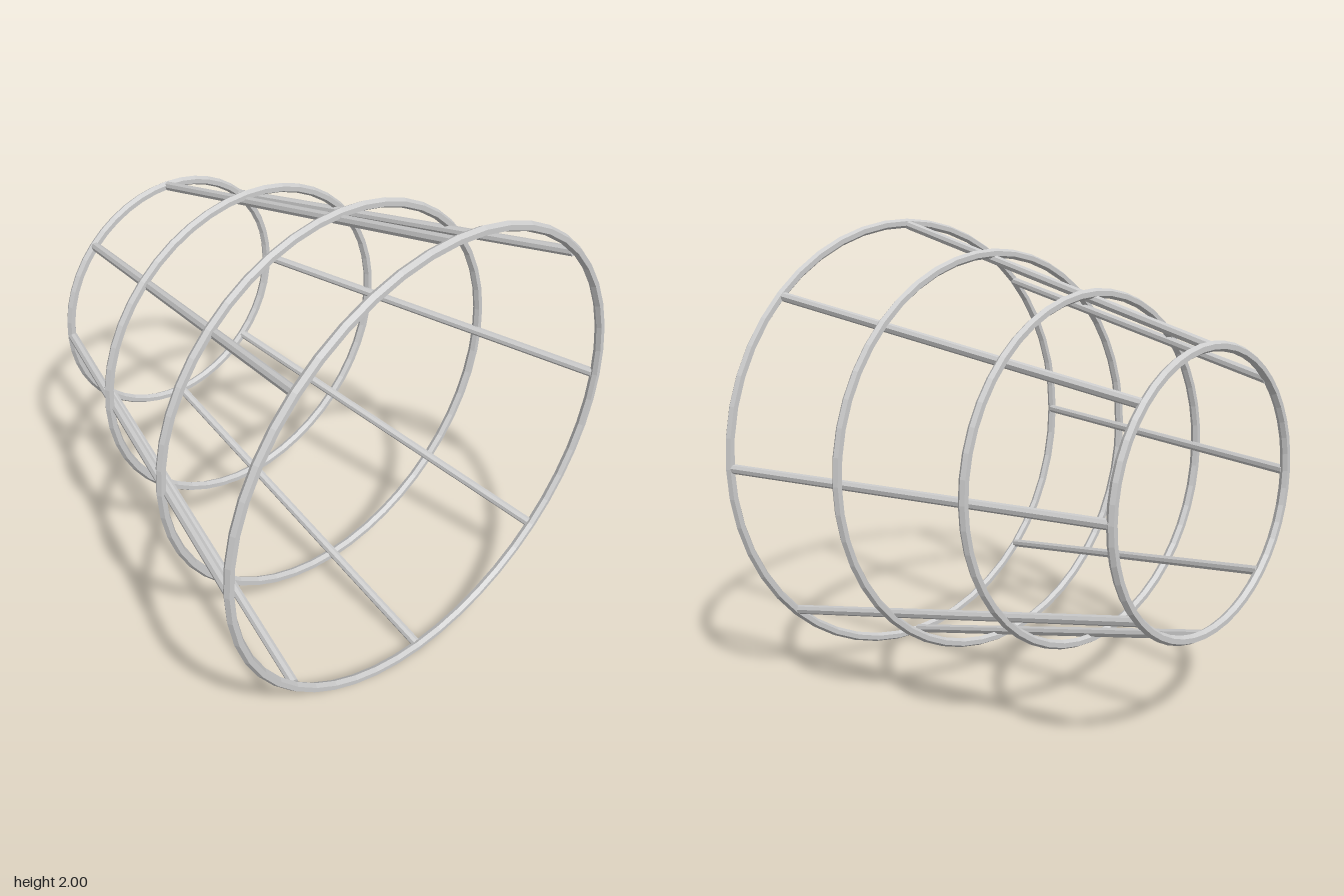
import * as THREE from 'three';

export function createModel() {
  const model = new THREE.Group();
  model.name = 'taperedCage';
  const steel = new THREE.MeshStandardMaterial({ color: 0xcccccc, flatShading: true });
  steel.name = 'light grey steel';
  const wire = 0.02;

  // Four hoops along z, [radius, z]
  const hoops = [[0.98, 0.84], [0.86, 0.28], [0.72, -0.28], [0.557, -0.84]];
  hoops.forEach(([radius, z], i) => {
    const hoop = new THREE.Mesh(new THREE.TorusGeometry(radius, wire, 6, 48), steel);
    hoop.name = 'hoop' + (i + 1);
    hoop.position.set(0, 1, z);
    model.add(hoop);
  });

  // Eight straight bars joining the front hoop to the back hoop
  const up = new THREE.Vector3(0, 1, 0);
  for (let i = 0; i < 8; i++) {
    const a = (i * Math.PI) / 4;
    const at = (r, z) => new THREE.Vector3(r * Math.cos(a), 1 + r * Math.sin(a), z);
    const front = at(0.972, 0.83);
    const back = at(0.556, -0.835);
    const dir = back.clone().sub(front);
    const bar = new THREE.Mesh(new THREE.CylinderGeometry(wire, wire, dir.length(), 8), steel);
    bar.name = 'bar' + (i + 1);
    bar.position.copy(front).add(back).multiplyScalar(0.5);
    bar.quaternion.setFromUnitVectors(up, dir.normalize());
    model.add(bar);
  }
  return model;
}
